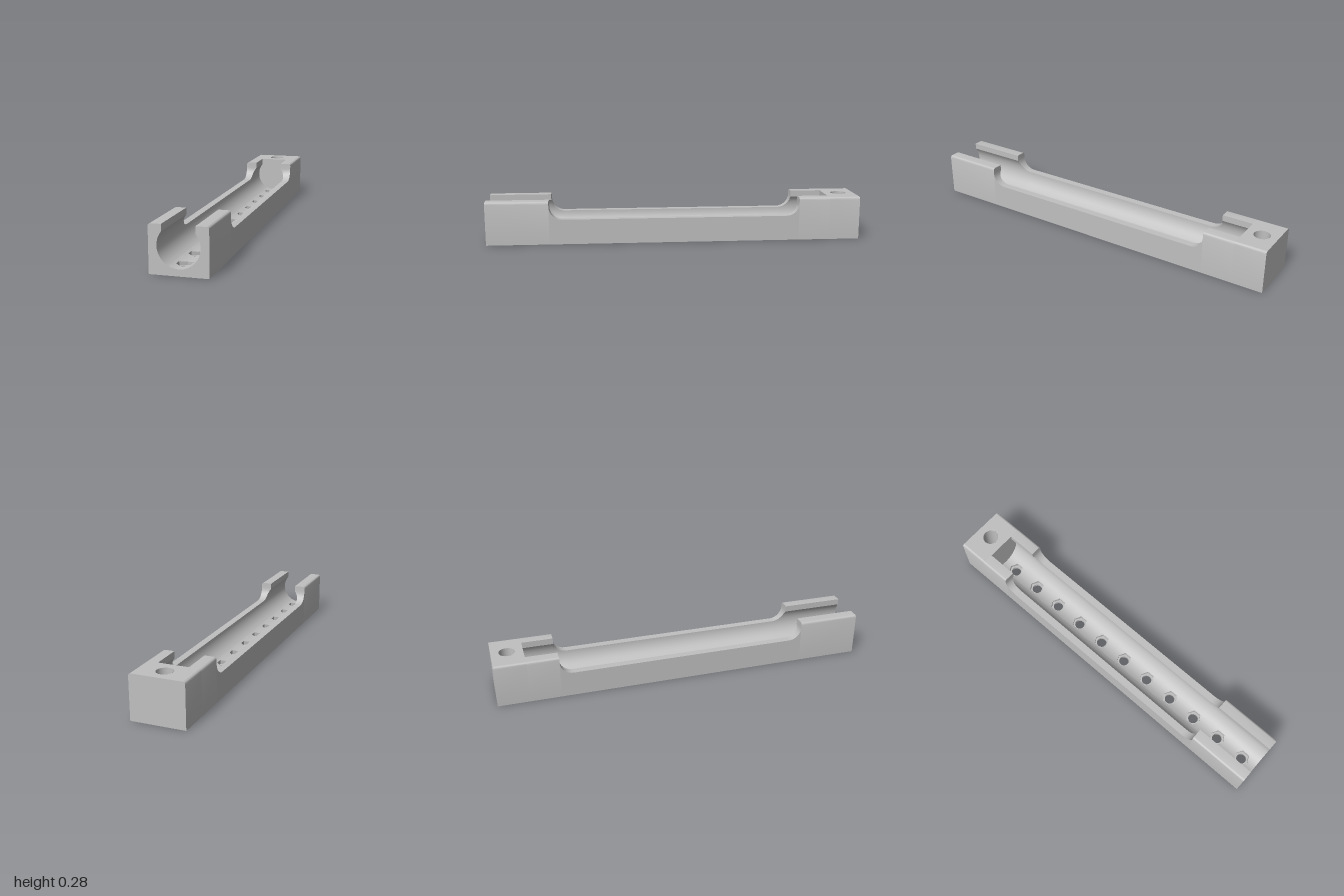
import * as THREE from 'three';
import { mergeGeometries, toCreasedNormals } from 'three/addons/utils/BufferGeometryUtils.js';

// Bar frame: x along the bar, y up, z across; turned 45 degrees at the end
const L = 1.241, W = 0.173, T = 0.285;          // half length, half width, height
const C = 0.165, R = 0.125;                     // bore centre height and radius
const SLOT = 0.097, SLOT_Y = C + Math.sqrt(R * R - SLOT * SLOT);
const KEEL = 0.06;                              // half width of the bore strip holding the pockets
const BORE_END = 1.035, PITCH = (BORE_END + L) / 11;
const N = 24, HOLE = 0.033, PIN = 0.026, PIN_V = 0.104;

const holeX = i => -L + PITCH * (i + 0.5);
const boreY = v => C - Math.sqrt(R * R - v * v);

// Skin between rows of points
function loft(rows, flip = false) {
  const pos = [], n = new THREE.Vector3();
  const tri = (a, b, c) => {
    const p = flip ? [a, c, b] : [a, b, c];
    n.crossVectors(b.clone().sub(a), c.clone().sub(a));
    if (n.length() > 1e-9) p.forEach(q => pos.push(q.x, q.y, q.z));
  };
  for (let i = 0; i < rows.length - 1; i++) {
    for (let j = 0; j < rows[i].length - 1; j++) {
      const a = rows[i][j], b = rows[i + 1][j], c = rows[i][j + 1], d = rows[i + 1][j + 1];
      tri(a, b, c);
      tri(b, d, c);
    }
  }
  const g = new THREE.BufferGeometry();
  g.setAttribute('position', new THREE.Float32BufferAttribute(pos, 3));
  return g;
}

// Half cross-section for wall height H: outer side, top, slot, bore; pairs [z, y]
function profile(H) {
  const e = H > 0.27 ? 0.015 : 0, pts = [[W, 0]];
  for (let k = 0; k <= 4; k++) {
    const a = k / 4 * Math.PI / 2;
    pts.push([W - e + e * Math.cos(a), H - e + e * Math.sin(a)]);
  }
  pts.push([H > SLOT_Y ? SLOT : Math.sqrt(R * R - (H - C) ** 2), H]);
  const top = Math.asin((Math.min(H, SLOT_Y) - C) / R);
  const low = Math.asin(KEEL / R) - Math.PI / 2;
  for (let k = 0; k <= 4; k++) pts.push([R * Math.cos(top * (1 - k / 4)), C + R * Math.sin(top * (1 - k / 4))]);
  for (let k = 1; k <= 8; k++) pts.push([R * Math.cos(low * k / 8), C + R * Math.sin(low * k / 8)]);
  return pts;
}

// Closed ring of N points around (x, z); f gives [dx, dz, y] for an angle
function ring(x, z, f) {
  return Array.from({ length: N + 1 }, (_, k) => {
    const [dx, dz, y] = f(k / N * Math.PI * 2);
    return new THREE.Vector3(x + dx, y, z + dz);
  });
}
const circle = (x, z, r, y) => ring(x, z, a => [r * Math.cos(a), r * Math.sin(a), y]);

// One cell of the bore floor with its hexagonal pocket and through hole
function pocketCell(x) {
  const hex = a => 0.05 * Math.cos(Math.PI / 6) / Math.cos(a % (Math.PI / 3) - Math.PI / 6);
  const rows = [1, 0.75, 0.5, 0.25, 0].map(t => ring(x, 0, a => {
    const c = Math.cos(a), s = Math.sin(a), m = Math.max(Math.abs(c), Math.abs(s)), h = hex(a);
    const dx = THREE.MathUtils.lerp(h * c, PITCH / 2 * c / m, t);
    const dz = THREE.MathUtils.lerp(h * s, KEEL * s / m, t);
    return [dx, dz, boreY(dz)];
  }));
  rows.push(ring(x, 0, a => [hex(a) * Math.cos(a), hex(a) * Math.sin(a), 0.02]));
  rows.push(circle(x, 0, HOLE, 0.02), circle(x, 0, HOLE, 0));
  return loft(rows);
}

// Flat plate from an outline and round holes [x, y, r]
function plate(points, holes = []) {
  const shape = new THREE.Shape(points.map(p => new THREE.Vector2(p[0], p[1])));
  for (const [x, y, r] of holes) shape.holes.push(new THREE.Path().absarc(x, y, r, 0, Math.PI * 2, true));
  return new THREE.ShapeGeometry(shape, N);
}
const rect = (x0, x1, h) => [[x0, -h], [x1, -h], [x1, h], [x0, h]];
const mirrored = pts => pts.concat(pts.slice().reverse().map(([z, y]) => [-z, y]));

export function createModel() {
  const group = new THREE.Group();
  const grey = new THREE.MeshStandardMaterial({ color: 0xc0c0c0, side: THREE.DoubleSide });
  const bar = new THREE.Group();
  bar.name = 'bar';
  bar.rotation.y = Math.PI / 4;
  group.add(bar);
  const add = (name, geometry) => {
    const mesh = new THREE.Mesh(geometry, grey);
    mesh.name = name;
    bar.add(mesh);
  };
  const smooth = list => toCreasedNormals(mergeGeometries(list), 0.5);

  // Side walls: full height at both ends, cut down with a fillet between
  const cut = [[-0.83, T]];
  for (let k = 0; k <= 8; k++) {
    const b = k / 8 * Math.PI / 2;
    cut.push([-0.745 - 0.085 * Math.cos(b), 0.25 - 0.085 * Math.sin(b)]);
  }
  const stations = [[-L, T], ...cut, ...cut.slice().reverse().map(([x, h]) => [-x, h]), [BORE_END, T]];
  const section = (x, pts, s) => pts.map(([z, y]) => new THREE.Vector3(x, y, s * z));
  const full = profile(T), outer = full.slice(0, 6);
  for (const s of [1, -1]) {
    const side = s > 0 ? 'left' : 'right';
    add(side + 'Wall', smooth([loft(stations.map(([x, h]) => section(x, profile(h), s)), s < 0)]));
    add(side + 'BlockSide', smooth([loft([section(BORE_END, outer, s), section(L, outer, s)], s < 0)]));
  }

  // Bore floor with a row of hexagonal pockets
  const cells = [], bottomHoles = [];
  for (let i = 0; i < 11; i++) cells.push(pocketCell(holeX(i)));
  for (let i = 0; i < 12; i++) bottomHoles.push([holeX(i), 0, HOLE]);
  add('pocketFloor', smooth(cells));

  // Blind holes in two rows under the bar
  const pins = [];
  for (let i = 0; i < 11; i++) {
    for (const s of [1, -1]) {
      const x = holeX(i + 0.5), z = s * PIN_V;
      bottomHoles.push([x, z, PIN]);
      pins.push(loft([circle(x, z, PIN, 0), circle(x, z, PIN, 0.05), circle(x, z, 0, 0.05)], true));
    }
  }
  add('blindHoles', smooth(pins));
  add('underside', plate(rect(-L, L, W), bottomHoles).rotateX(Math.PI / 2));

  // Solid end block with a stepped screw hole
  const sx = holeX(11);
  add('blockTop', plate(rect(BORE_END, L, W - 0.015), [[sx, 0, 0.052]]).rotateX(-Math.PI / 2).translate(0, T, 0));
  add('screwHole', smooth([loft([circle(sx, 0, 0.052, T), circle(sx, 0, 0.052, 0.04),
    circle(sx, 0, HOLE, 0.04), circle(sx, 0, HOLE, 0)])]));
  add('blockEnd', plate(mirrored(outer)).rotateY(Math.PI / 2).translate(L, 0, 0));

  // Open end face and the wall closing the bore
  const keel = [0.045, 0.03, 0.015, 0.003].map(v => [v, boreY(v)]);
  add('openEnd', plate(mirrored(full.concat(keel))).rotateY(-Math.PI / 2).translate(-L, 0, 0));
  add('boreEnd', plate(mirrored(full.slice(6).concat(keel))).rotateY(-Math.PI / 2).translate(BORE_END, 0, 0));

  return group;
}
